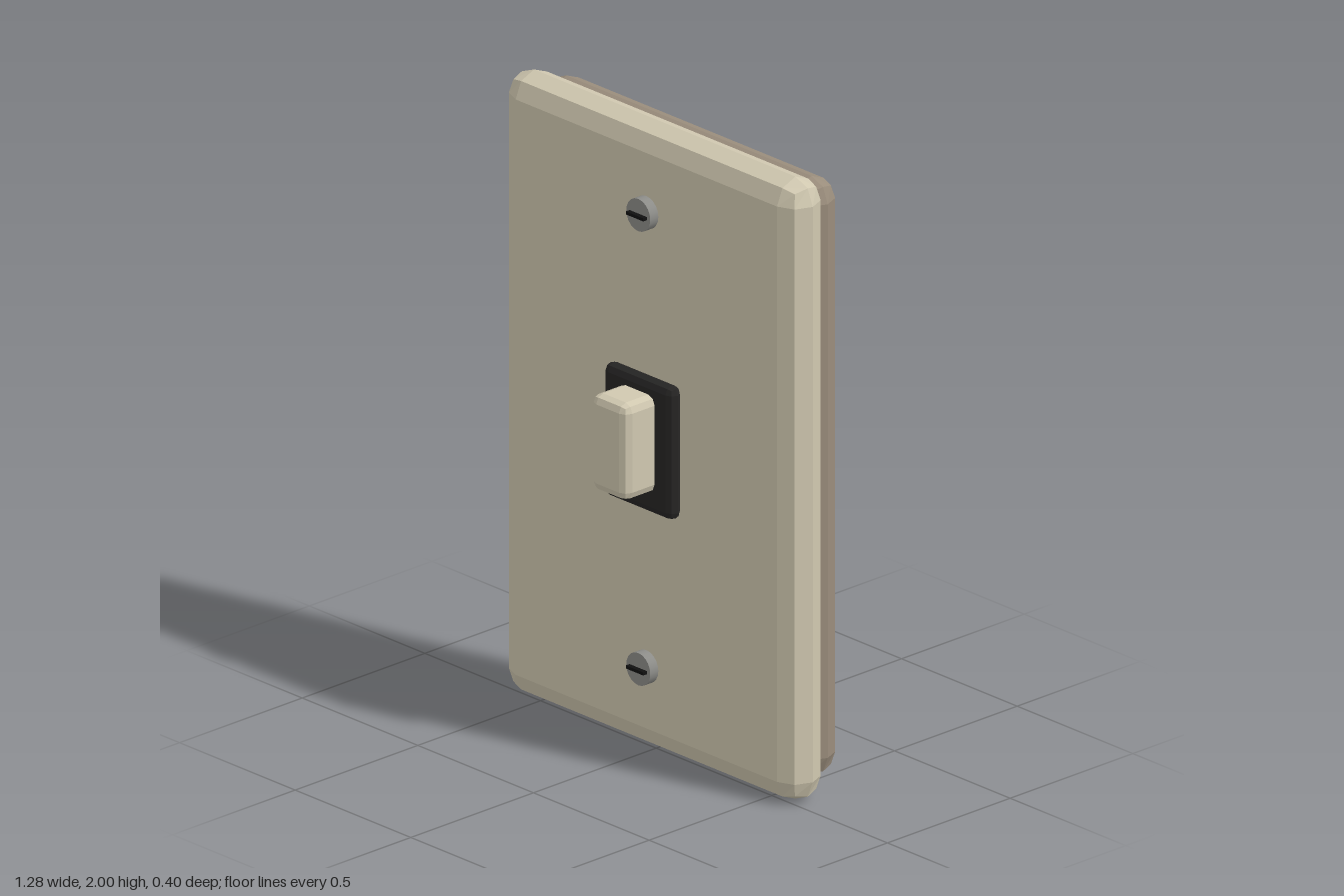
import * as THREE from 'three';
import { RoundedBoxGeometry } from 'three/addons/geometries/RoundedBoxGeometry.js';

const material = (color, flatShading = true) => new THREE.MeshStandardMaterial({ color, flatShading });

export function createModel() {
  const model = new THREE.Group();
  model.name = 'wallSwitch';
  const ivory = material(0xd0c8b0);
  const taupe = material(0x9a8d7c);
  const black = material(0x262524);
  const steel = material(0x8c8c88, false);
  const slotBlack = material(0x111111);

  // Box whose edges are rounded by two facets
  const softBox = (name, [w, h, d], radius, [x, y, z], mat) => {
    const mesh = new THREE.Mesh(new RoundedBoxGeometry(w, h, d, 1, radius), mat);
    mesh.name = name;
    mesh.position.set(x, y, z);
    model.add(mesh);
  };

  softBox('facePlate', [1.28, 2, 0.15], 0.075, [0, 1, -0.035], ivory);
  softBox('backPlate', [1.2, 1.92, 0.14], 0.07, [0, 1.003, -0.134], taupe);
  softBox('switchBezel', [0.3, 0.43, 0.052], 0.026, [0, 1.005, 0.053], black);
  softBox('toggle', [0.154, 0.31, 0.15], 0.028, [0, 1.02, 0.123], ivory);

  // Slotted screws above and below the switch
  for (const [name, y] of [['upperScrew', 1.735], ['lowerScrew', 0.275]]) {
    const screw = new THREE.Group();
    screw.name = name;
    screw.position.set(0, y, 0);

    const head = new THREE.Mesh(new THREE.CylinderGeometry(0.052, 0.052, 0.05, 20), steel);
    head.name = 'screwHead';
    head.rotation.x = Math.PI / 2;
    head.position.z = 0.048;

    const slot = new THREE.Mesh(new THREE.BoxGeometry(0.075, 0.01, 0.02), slotBlack);
    slot.name = 'screwSlot';
    slot.position.z = 0.078;

    screw.add(head, slot);
    model.add(screw);
  }
  return model;
}
